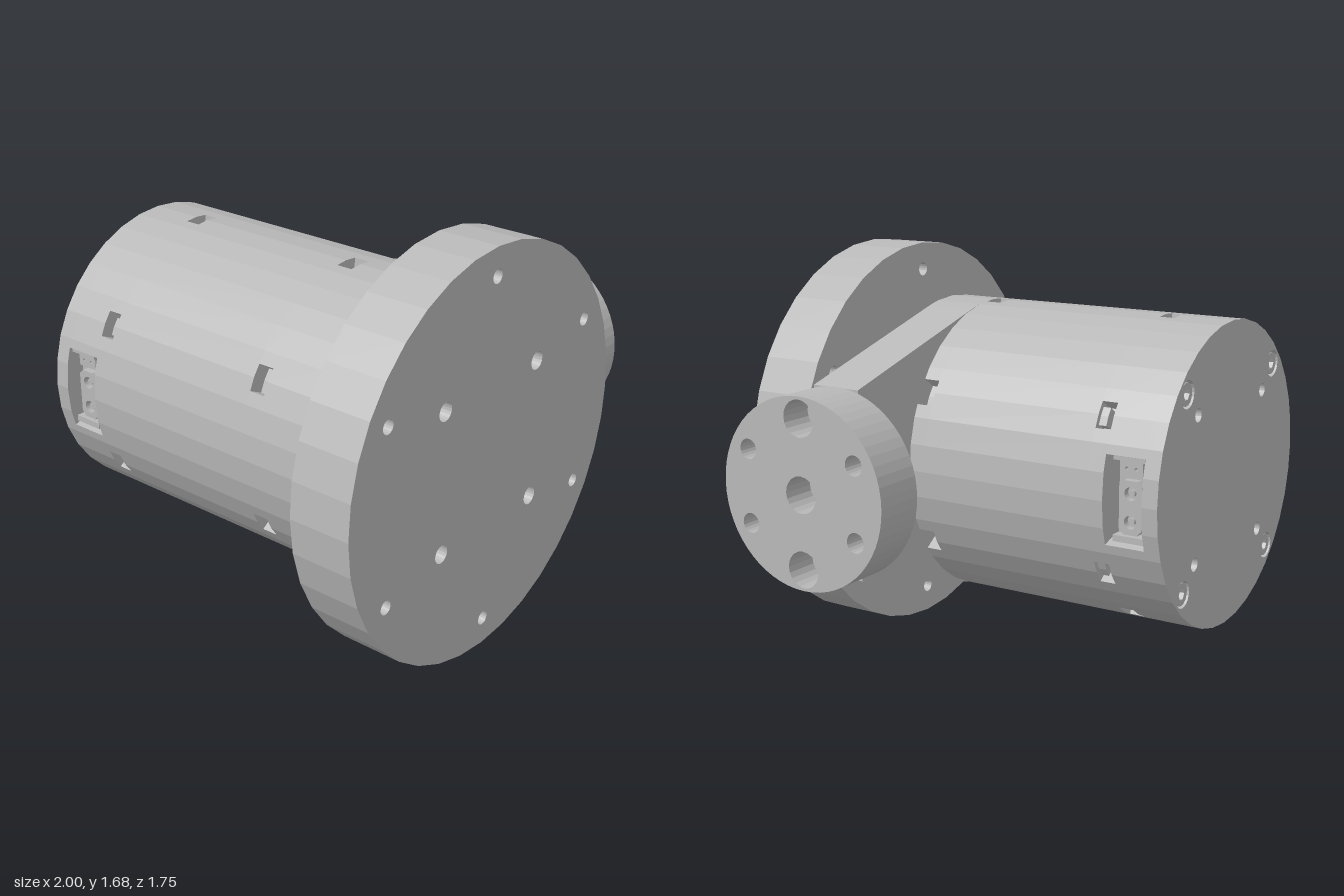
import * as THREE from 'three';

const CX = -0.16, CY = 0.84, R = 0.62, STEP = 10;
const rad = THREE.MathUtils.degToRad;
const polar = (r, deg) => new THREE.Vector2(r * Math.cos(rad(deg)), r * Math.sin(rad(deg)));

// Faceted disc outline with round holes given as [x, y, radius]
function discShape(r, holes = [], sides = 36) {
  const pts = [];
  for (let i = 0; i < sides; i++) pts.push(polar(r, i * 360 / sides));
  const shape = new THREE.Shape(pts);
  for (const [x, y, hr] of holes) {
    const h = [];
    for (let i = 0; i < 20; i++) h.push(polar(hr, -i * 18).add(new THREE.Vector2(x, y)));
    shape.holes.push(new THREE.Path(h));
  }
  return shape;
}

// Curved wall segment between two angles, with facets on every tenth degree
function sectorShape(r0, r1, a0, a1) {
  const angles = [a0];
  for (let a = Math.floor(a0 / STEP) * STEP + STEP; a < a1 - 0.01; a += STEP) angles.push(a);
  angles.push(a1);
  // points on the flat facets, so that every wall lines up with the full drum
  const facet = (r, a) => {
    const off = ((a % STEP) + STEP) % STEP - STEP / 2;
    return polar(r * Math.cos(rad(STEP / 2)) / Math.cos(rad(off)), a);
  };
  return new THREE.Shape([
    ...angles.map(a => facet(r1, a)),
    ...angles.slice().reverse().map(a => facet(r0, a)),
  ]);
}

export function createModel() {
  const model = new THREE.Group();
  const metal = new THREE.MeshStandardMaterial({ color: 0xb8b8b8 });
  metal.name = 'grey metal';

  const extrude = (shape, z0, z1) =>
    new THREE.ExtrudeGeometry(shape, { depth: z1 - z0, bevelEnabled: false, curveSegments: 12 }).translate(0, 0, z0);
  const add = (name, geo, parent) => {
    const mesh = new THREE.Mesh(geo, metal);
    mesh.name = name;
    parent.add(mesh);
    return mesh;
  };
  const group = (name, x, y, z) => {
    const g = new THREE.Group();
    g.name = name;
    g.position.set(x, y, z);
    model.add(g);
    return g;
  };
  const square = (d, r) => [[d, d, r], [-d, d, r], [-d, -d, r], [d, -d, r]];

  // Everything on the main axis
  const drum = group('drum', CX, CY, 0);

  // Front mounting flange with six outer and four inner holes
  const outer = [];
  for (let i = 0; i < 6; i++) {
    const p = polar(0.725, 30 + 60 * i);
    outer.push([p.x, p.y, 0.029]);
  }
  add('frontFlange', extrude(discShape(0.84, [...outer, ...square(0.295, 0.038)]), 0.61, 0.875), drum);
  add('neck', extrude(discShape(0.38), 0.455, 0.61), drum);

  // Front plate: the drum circle drawn out along its tangents into an arm
  const arm = [new THREE.Vector2(0.94, 0.38)];
  for (let a = 75; a <= 285; a += 5) {
    if (a % 10 === 0 || a === 75 || a === 285) arm.push(polar(R, a));
  }
  arm.push(new THREE.Vector2(0.94, -0.38));
  add('armPlate', extrude(new THREE.Shape(arm), 0.24, 0.455), drum);
  add('frontDrumEnd', extrude(discShape(R), 0.241, 0.454), drum);

  // Housing: a solid middle, and walls broken by openings [centre, half angle]
  add('housing', extrude(discShape(R), -0.58, 0.17), drum);
  add('core', extrude(discShape(0.555), -0.64, 0.24), drum);
  const wall = (name, z0, z1, openings) => {
    const list = openings.slice().sort((a, b) => a[0] - b[0]);
    list.forEach(([c, h], i) => {
      const [nc, nh] = i + 1 < list.length ? list[i + 1] : [list[0][0] + 360, list[0][1]];
      add(name, extrude(sectorShape(0.54, R, c + h, nc - nh), z0, z1), drum);
    });
  };
  const slots = list => list.map(a => [a, 5]);
  const rearSlots = [30, 90, 150, 210, 240, 300, 330];
  wall('frontSlotWall', 0.17, 0.24, slots([30, 90, 150, 210, 270, 330]));
  wall('rearSlotWall', -0.645, -0.58, slots(rearSlots));
  wall('windowWall', -0.81, -0.645, [[0, 16.5], [180, 16.5]]);
  for (const a of rearSlots) {
    add('latch', extrude(sectorShape(0.55, 0.6, a - 3.5, a + 3.5), -0.612, -0.58), drum);
  }

  // Rear cap with four small holes and four countersunk screws
  add('capBase', extrude(discShape(R), -0.835, -0.81), drum);
  add('rearCap', extrude(discShape(R, [...square(0.295, 0.028), ...square(0.39, 0.055)]), -0.875, -0.835), drum);
  for (const [x, y] of square(0.39, 0)) {
    const head = discShape(0.046, [], 20);
    const hex = [];
    for (let i = 0; i < 6; i++) hex.push(polar(0.024, -60 * i));
    head.holes.push(new THREE.Path(hex));
    add('capScrew', extrude(head, -0.87, -0.835).translate(x, y, 0), drum);
  }

  // Connector sockets behind both side windows
  for (const side of [0, Math.PI]) {
    const socket = group('connector', CX, CY, -0.738);
    socket.rotation.y = side;
    const zs = side ? -1 : 1;
    const block = (name, w, h, d, x, y, z) =>
      add(name, new THREE.BoxGeometry(w, h, d).translate(x, y, z * zs), socket);
    block('connectorBoard', 0.06, 0.33, 0.125, 0.51, 0.01, 0);
    for (const y of [0.17, -0.145]) block('connectorClip', 0.06, 0.025, 0.13, 0.555, y, 0);
    // outlines facing outwards: a small two pin socket above a larger one
    const face = (name, shape, x0, x1, y) =>
      add(name, extrude(shape, x0, x1).rotateY(Math.PI / 2).translate(0, y, 0), socket);
    const plate = (w, h, c, holes) => {
      const s = new THREE.Shape([
        [-w + c, -h], [w - c, -h], [w, -h + c], [w, h - c],
        [w - c, h], [-w + c, h], [-w, h - c], [-w, -h + c],
      ].map(p => new THREE.Vector2(...p)));
      s.holes = discShape(1, holes).holes;
      return s;
    };
    face('pinSocket', plate(0.048, 0.028, 0.004, [[-0.02, 0, 0.007], [0.02, 0, 0.007]]), 0.54, 0.565, 0.125);
    face('powerSocket', plate(0.048, 0.105, 0.02, [[0, 0.055, 0.026], [0, -0.055, 0.026]]), 0.54, 0.57, -0.025);
    for (const y of [0.03, -0.08]) face('socketPin', discShape(0.013, [], 12), 0.54, 0.56, y);
  }

  // Side output disc, turned to face +x
  const output = group('outputDisc', 0, 0.843, 0.35);
  const small = [], big = [], deep = [];
  for (let i = 0; i < 6; i++) {
    const p = polar(0.295, 30 + 60 * i);
    const inLine = i === 1 || i === 4;
    small.push([p.x, p.y, 0.04]);
    big.push([p.x, p.y, inLine ? 0.073 : 0.04]);
    if (inLine) deep.push([p.x, p.y]);
  }
  small.push([0, 0, 0.04]);
  big.push([0, 0, 0.073]);
  deep.push([0, 0]);
  const turned = (name, shape, x0, x1, y = 0) =>
    add(name, extrude(shape, x0, x1).rotateY(Math.PI / 2).translate(0, y, 0), output);
  turned('outputBase', discShape(0.38, small, 60), 0.78, 0.86);
  turned('outputFace', discShape(0.38, big, 60), 0.86, 1.0);
  for (const [, y] of deep) turned('boreSleeve', discShape(0.041, [[0, 0, 0.028]], 20), 0.78, 0.83, y);

  return model;
}
